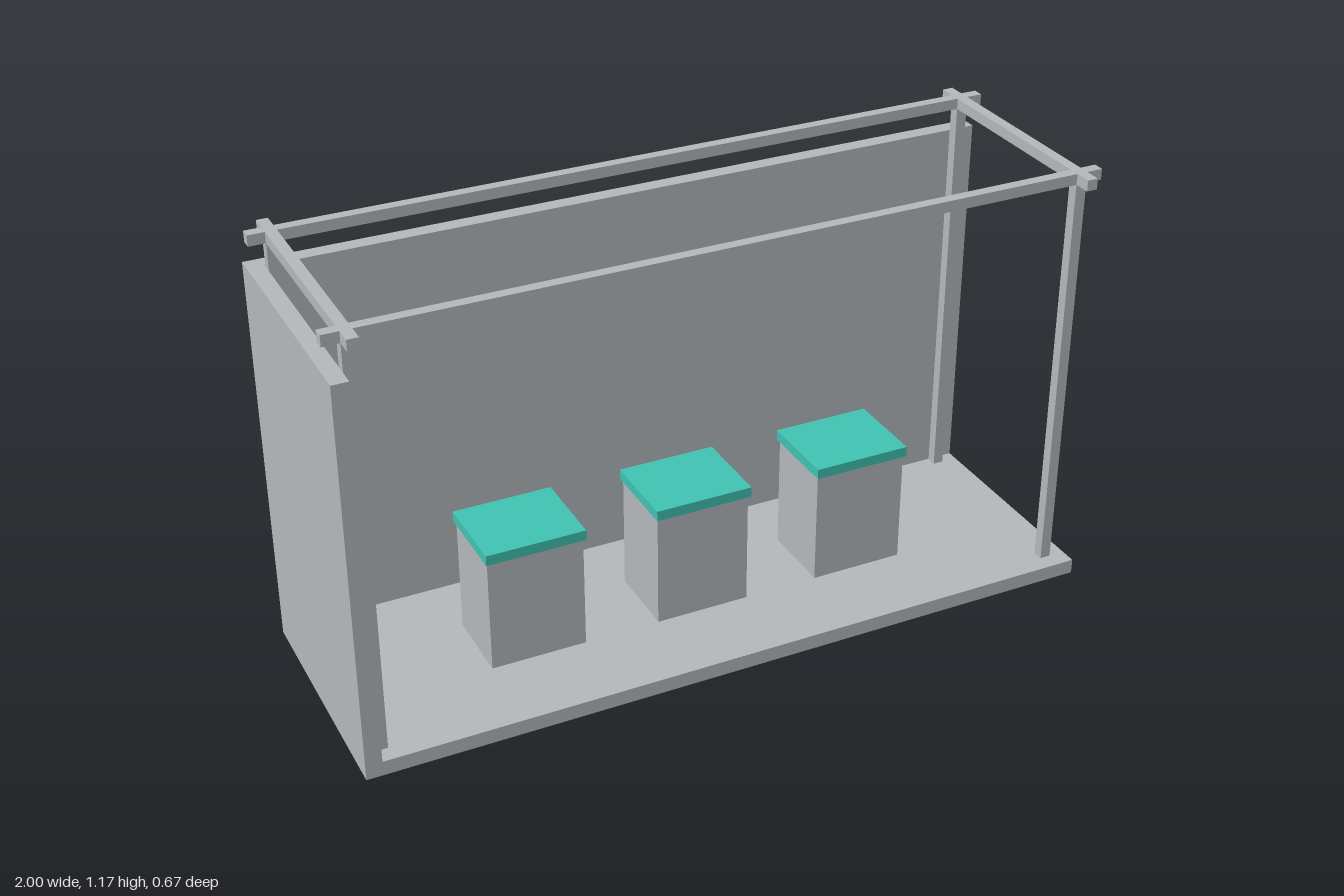
import * as THREE from 'three';

export function createModel() {
  const group = new THREE.Group();
  const grey = new THREE.MeshStandardMaterial({ color: 0xb4b8bb });
  grey.name = 'grey';
  const teal = new THREE.MeshStandardMaterial({ color: 0x40c2b2 });
  teal.name = 'teal';

  // Box given by its min and max corners
  const box = (name, material, [x0, y0, z0], [x1, y1, z1]) => {
    const mesh = new THREE.Mesh(new THREE.BoxGeometry(x1 - x0, y1 - y0, z1 - z0), material);
    mesh.position.set((x0 + x1) / 2, (y0 + y1) / 2, (z0 + z1) / 2);
    mesh.name = name;
    group.add(mesh);
  };

  const W = 1, D = 0.333;            // half width and half depth
  const wall = 0.043, floorTop = 0.04, wallTop = 1.067;
  const railBottom = 1.138, railTop = 1.167;
  const postX = 0.942, postZ = 0.274, r = 0.0145;

  // Floor, back wall and the single side wall
  box('floor', grey, [-W + wall, 0, -D + wall], [W, floorTop, D]);
  box('backWall', grey, [-W, 0, -D], [W, wallTop, -D + wall]);
  box('sideWall', grey, [-W, 0, -D + wall], [-W + wall, wallTop, D]);

  // Corner posts
  for (const sx of [-1, 1]) for (const sz of [-1, 1]) {
    const x = sx * postX, z = sz * postZ;
    box('post', grey, [x - r, floorTop, z - r], [x + r, railBottom, z + r]);
  }

  // Crossing top rails
  for (const s of [-1, 1]) {
    box('longRail', grey, [-W, railBottom, s * postZ - r], [W, railTop, s * postZ + r]);
    box('crossRail', grey, [s * postX - r, railBottom, -D], [s * postX + r, railTop, D]);
  }

  // Three plinths with coloured tops
  for (const x of [-0.46, 0, 0.46]) {
    box('plinth', grey, [x - 0.128, floorTop, -0.104], [x + 0.128, 0.355, 0.104]);
    box('plinthTop', teal, [x - 0.133, 0.355, -0.113], [x + 0.133, 0.383, 0.113]);
  }

  return group;
}
